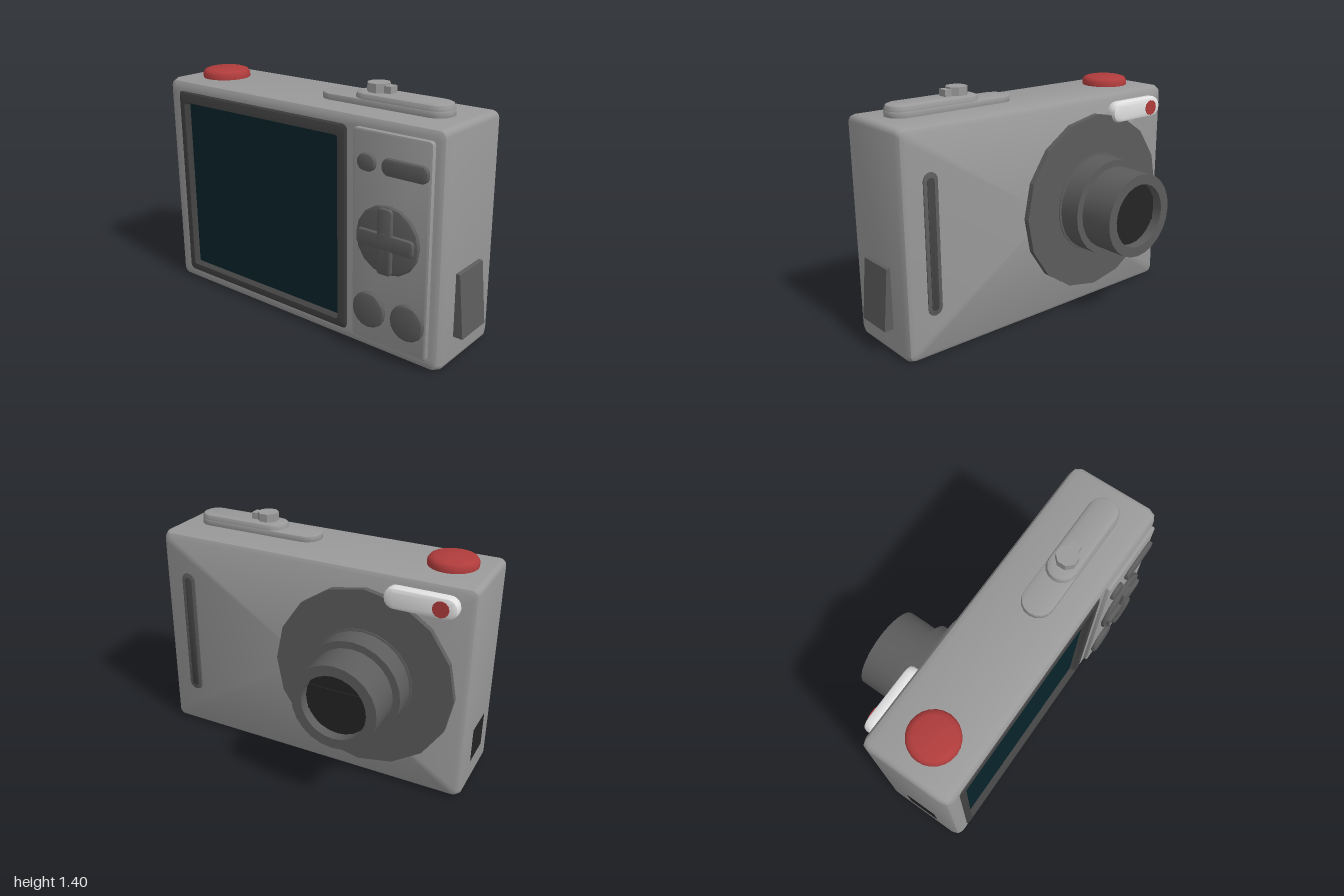
import * as THREE from 'three';
import { toCreasedNormals } from 'three/addons/utils/BufferGeometryUtils.js';

const mat = (name, color) => Object.assign(new THREE.MeshStandardMaterial({ color }), { name });

// Counter-clockwise rounded rectangle outline
function outline(cx, cy, w, h, r, n = 4) {
  const pts = [];
  r = Math.min(r, w * 0.49, h * 0.49);
  [[1, 1], [-1, 1], [-1, -1], [1, -1]].forEach(([sx, sy], k) => {
    for (let i = 0; i <= n; i++) {
      const a = (k + i / n) * Math.PI / 2;
      pts.push(new THREE.Vector2(
        cx + sx * (w / 2 - r) + r * Math.cos(a),
        cy + sy * (h / 2 - r) + r * Math.sin(a)));
    }
  });
  return pts;
}

// Skin between outlines; each ring is [depth, cx, cy, w, h, r]
function loft(rings) {
  const loops = rings.map(([d, ...o]) => outline(...o).map(p => [p.x, p.y, d]));
  const pos = [];
  for (let k = 0; k + 1 < loops.length; k++) {
    const a = loops[k], b = loops[k + 1];
    for (let i = 0; i < a.length; i++) {
      const j = (i + 1) % a.length;
      pos.push(...a[i], ...a[j], ...b[j], ...a[i], ...b[j], ...b[i]);
    }
  }
  const g = new THREE.BufferGeometry();
  g.setAttribute('position', new THREE.Float32BufferAttribute(pos, 3));
  return toCreasedNormals(g, 0.6);
}

// Bevelled rounded plate from depth 0 to d
function plate(w, h, r, d, b = 0.01) {
  const g = new THREE.ExtrudeGeometry(new THREE.Shape(outline(0, 0, w, h, r)), {
    depth: d - 2 * b, bevelEnabled: true, bevelThickness: b, bevelSize: b, bevelOffset: -b, bevelSegments: 2
  });
  return toCreasedNormals(g.translate(0, 0, b), 0.6);
}

export function createModel() {
  const grey = mat('bodyGrey', 0x9a9a9a), dark = mat('darkGrey', 0x5c5c5c), black = mat('nearBlack', 0x242424);
  const red = mat('red', 0xb03c3c), white = mat('flashWhite', 0xe2e2e2), glass = mat('screenGlass', 0x08232b);
  const frameGrey = mat('frameGrey', 0x424242);

  const model = new THREE.Group();
  model.name = 'camera';
  // Facade: local x runs along -z, local z runs along +x
  const facade = new THREE.Group();
  facade.name = 'facade';
  facade.rotation.y = Math.PI / 2;
  model.add(facade);

  const add = (parent, name, geo, material, x = 0, y = 0, z = 0) => {
    const m = new THREE.Mesh(geo, material);
    m.name = name;
    m.position.set(x, y, z);
    parent.add(m);
    return m;
  };
  // Facade part placed by its world z, y and lowest x
  const put = (name, geo, material, z, y, x) => add(facade, name, geo, material, -z, y, x);

  // Body shell, from the screen opening round to the front face
  const shell = (x, inset) => [x, 0.0275, 0.645, 1.945 - 2 * inset, 1.29 - 2 * inset, 0.035];
  const rim = [-0.43, 0.2725, 0.645, 1.275, 1.16, 0.03];
  const lip = [-0.437, 0.2725, 0.645, 1.255, 1.14, 0.03];
  const opening = [-0.437, 0.28, 0.635, 1.17, 1.05, 0.015];
  const recess = [-0.40, 0.28, 0.635, 1.15, 1.03, 0.01];
  put('body', loft([rim, shell(-0.43, 0.035), shell(-0.415, 0.012), shell(-0.375, 0),
    shell(0.06, 0), shell(0.095, 0.012), shell(0.11, 0.035), [0.11, 0.0275, 0.645, 0, 0, 0]]), grey, 0, 0, 0);
  put('screenFrame', loft([recess, opening, lip, rim]), frameGrey, 0, 0, 0);
  put('screen', loft([[-0.40, 0.28, 0.635, 0, 0, 0], recess]), glass, 0, 0, 0);

  // Lens: base disc, stepped barrel and closed shutter
  const lens = new THREE.Group();
  lens.name = 'lens';
  lens.position.set(0, 0.65, -0.39);
  lens.rotation.z = -Math.PI / 2;
  model.add(lens);
  add(lens, 'lensBase', toCreasedNormals(new THREE.CylinderGeometry(0.54, 0.54, 0.045, 16), 0.2), dark, 0, 0.1225, 0);
  const profile = [[0.305, 0.144], [0.305, 0.15], [0.292, 0.152], [0.292, 0.285], [0.25, 0.285],
    [0.25, 0.5], [0.19, 0.5], [0.19, 0.43]].map(p => new THREE.Vector2(...p));
  add(lens, 'lensBarrel', toCreasedNormals(new THREE.LatheGeometry(profile, 24), 0.6), dark);
  add(lens, 'lensShutter', new THREE.CylinderGeometry(0.192, 0.192, 0.02, 24), black, 0, 0.43, 0);
  put('shutterBlade', new THREE.BoxGeometry(0.35, 0.15, 0.008), black, -0.39, 0.65, 0.442);

  // Front face details
  put('grip', plate(0.09, 0.8, 0.045, 0.014, 0.004), dark, 0.775, 0.65, 0.102);
  put('gripInset', plate(0.045, 0.74, 0.02, 0.006, 0.001), frameGrey, 0.775, 0.65, 0.112);
  put('flash', plate(0.41, 0.125, 0.06, 0.075, 0.022), white, -0.71, 1.18, 0.096);
  const lamp = put('flashLamp', new THREE.CylinderGeometry(0.046, 0.046, 0.008, 12), red, -0.825, 1.178, 0.172);
  lamp.rotation.x = Math.PI / 2;

  // Rear button panel
  put('buttonPanel', plate(0.47, 1.16, 0.02, 0.035, 0.008), grey, 0.655, 0.65, -0.455);
  put('smallButton', plate(0.11, 0.09, 0.045, 0.03), dark, 0.515, 1.065, -0.478);
  put('longButton', plate(0.27, 0.09, 0.04, 0.03), dark, 0.745, 1.065, -0.478);
  for (const z of [0.54, 0.78]) put('roundButton', plate(0.2, 0.2, 0.1, 0.035, 0.012), dark, z, 0.26, -0.482);
  put('padBase', plate(0.38, 0.37, 0.19, 0.03), dark, 0.65, 0.68, -0.48);
  put('padBar', plate(0.34, 0.085, 0.02, 0.03, 0.005), dark, 0.65, 0.68, -0.5);
  put('padBar', plate(0.085, 0.355, 0.02, 0.03, 0.005), dark, 0.65, 0.68, -0.5);
  put('padCentre', plate(0.11, 0.11, 0.055, 0.03, 0.005), dark, 0.65, 0.68, -0.5);

  // Wedge cover on one end, socket on the other
  const wedge = new THREE.Shape([[-0.93, 0.16], [-0.93, 0.52], [-0.967, 0.515], [-1, 0.16]]
    .map(p => new THREE.Vector2(...p)));
  put('endCover', new THREE.ExtrudeGeometry(wedge, { depth: 0.23, bevelEnabled: false }), dark, 0, 0, -0.28);
  add(model, 'endSocket', new THREE.BoxGeometry(0.2, 0.21, 0.009), black, -0.17, 0.26, -0.9985 + 0.0015);

  // Top slider plate with raised step and knob
  const flat = (name, geo, material, x, y, z) => {
    add(model, name, geo, material, x, y, z).rotation.x = -Math.PI / 2;
  };
  flat('dialPlate', plate(0.18, 0.8, 0.09, 0.045, 0.008), grey, -0.19, 1.28, 0.435);
  flat('dialStep', plate(0.175, 0.575, 0.087, 0.07, 0.025), grey, -0.19, 1.287, 0.545);
  const knob = new THREE.CylinderGeometry(0.063, 0.063, 0.05, 8).rotateY(Math.PI / 8);
  add(model, 'dialKnob', toCreasedNormals(knob, 0.3), grey, -0.19, 1.38, 0.385);
  add(model, 'knobTab', new THREE.BoxGeometry(0.06, 0.04, 0.06), grey, -0.19, 1.375, 0.45);

  // Shutter button
  const dome = [[0.14, 0], [0.14, 0.03], [0.128, 0.047], [0.105, 0.055], [0, 0.055]]
    .map(p => new THREE.Vector2(...p));
  add(model, 'shutterButton', toCreasedNormals(new THREE.LatheGeometry(dome, 24), 0.8), red, -0.175, 1.288, -0.765);

  return model;
}
